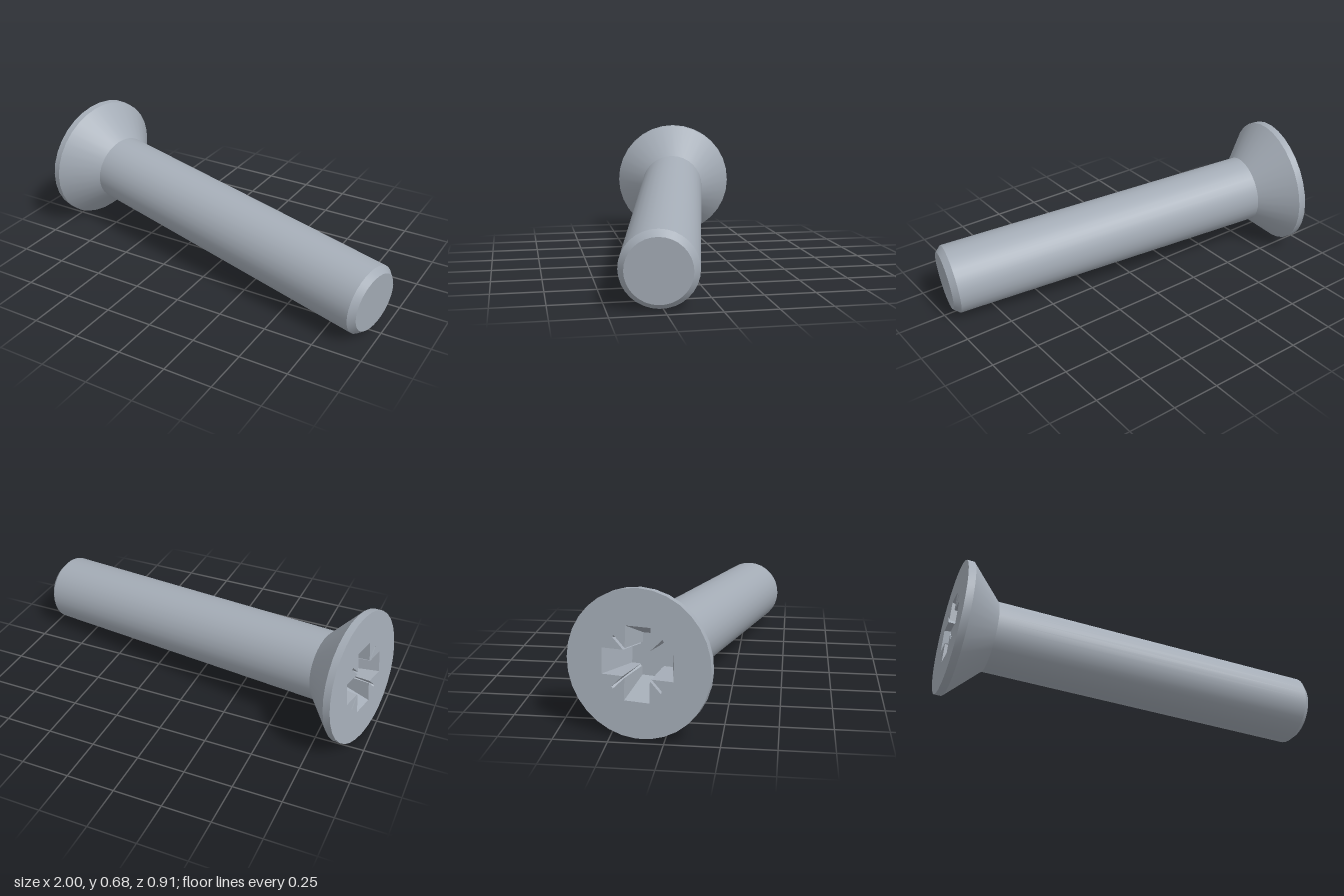
import * as THREE from 'three';
import { toCreasedNormals } from 'three/addons/utils/BufferGeometryUtils.js';

const HEAD_R = 0.34, SHANK_R = 0.18, LENGTH = 1.944, RECESS_DEPTH = 0.19, SEGMENTS = 32;

// Cross outline with a thin diagonal slot in each inner corner, counter-clockwise.
// reach: wing length, w: half wing width, t: how far the slot runs along the diagonal
function crossOutline(reach, w, t) {
  const d = 0.008;
  const quarter = [
    [reach, -w], [reach, w],
    [w + d, w], [t + d / 2, t - d / 2], [t - d / 2, t + d / 2], [w, w + d],
  ];
  const points = [];
  for (let k = 0; k < 4; k++) {
    for (const [x, y] of quarter) {
      points.push(new THREE.Vector2(x, y).rotateAround(new THREE.Vector2(), k * Math.PI / 2));
    }
  }
  return points;
}

// Inward-facing walls between two outlines
function recessWalls(top, bottom, depth) {
  const pos = [];
  const put = (p, z) => pos.push(p.x, p.y, z);
  top.forEach((a, i) => {
    const j = (i + 1) % top.length;
    put(bottom[i], -depth); put(top[j], 0); put(bottom[j], -depth);
    put(bottom[i], -depth); put(a, 0); put(top[j], 0);
  });
  const g = new THREE.BufferGeometry();
  g.setAttribute('position', new THREE.Float32BufferAttribute(pos, 3));
  g.computeVertexNormals();
  return g;
}

export function createModel() {
  const model = new THREE.Group();
  model.name = 'countersunkScrew';
  const steel = new THREE.MeshStandardMaterial({ color: 0xa5adb7 });
  steel.name = 'steel grey';

  const screw = new THREE.Group();
  screw.name = 'screw';
  const add = (name, geometry) => {
    const mesh = new THREE.Mesh(geometry, steel);
    mesh.name = name;
    screw.add(mesh);
  };
  const turned = (profile) => {
    const points = profile.map(([r, z]) => new THREE.Vector2(r, z));
    const g = new THREE.LatheGeometry(points, SEGMENTS).rotateX(Math.PI / 2);
    return toCreasedNormals(g, 0.5);
  };

  // Shank with chamfered tip; the head face lies on local z = 0
  add('shank', turned([[0, -LENGTH], [0.152, -LENGTH], [SHANK_R, -1.913], [SHANK_R, -0.2]]));

  // Conical head with a narrow rim
  add('head', turned([[SHANK_R, -0.2], [HEAD_R, -0.037], [HEAD_R, 0]]));

  // Flat head face pierced by the drive recess
  const top = crossOutline(0.17, 0.06, 0.118);
  const bottom = crossOutline(0.1, 0.048, 0.056);
  const rim = [];
  for (let i = 0; i < SEGMENTS; i++) {
    const a = i / SEGMENTS * Math.PI * 2;
    rim.push(new THREE.Vector2(Math.cos(a) * HEAD_R, Math.sin(a) * HEAD_R));
  }
  const face = new THREE.Shape(rim);
  face.holes.push(new THREE.Path(top));
  add('headFace', new THREE.ShapeGeometry(face));

  // Tapered drive recess
  add('recessWalls', recessWalls(top, bottom, RECESS_DEPTH));
  add('recessFloor', new THREE.ShapeGeometry(new THREE.Shape(bottom)).translate(0, 0, -RECESS_DEPTH));

  // Lay the screw along its slanted axis
  const n = new THREE.Vector3(-1.895, 0.159, -0.403).normalize();
  const h = new THREE.Vector3(0, 1, 0).cross(n).normalize();
  const v = n.clone().cross(h);
  screw.quaternion.setFromRotationMatrix(new THREE.Matrix4().makeBasis(h, v, n));
  screw.position.set(-0.93, 0.342, -0.123);
  model.add(screw);
  return model;
}
